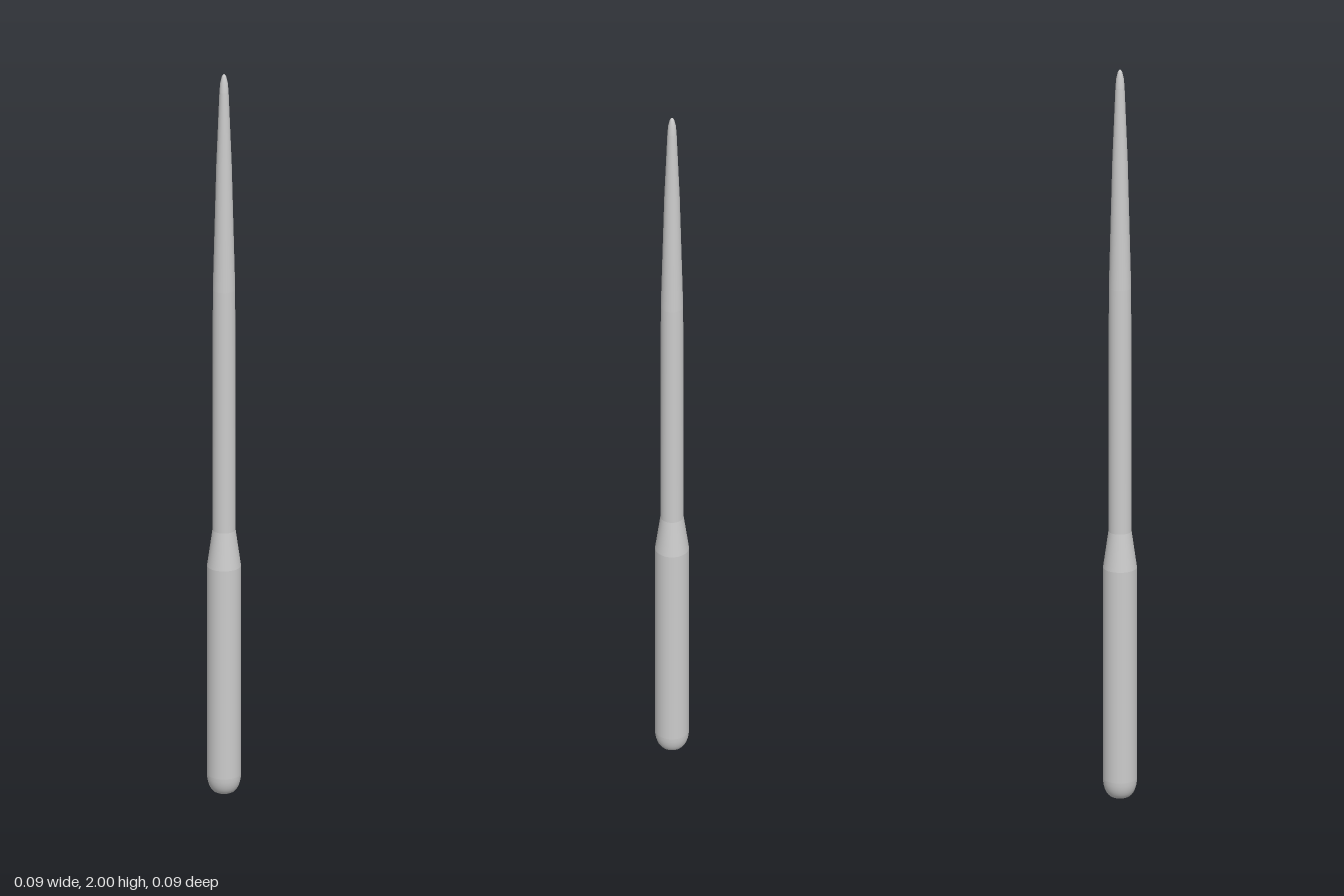
import * as THREE from 'three';

const material = new THREE.MeshStandardMaterial({ color: 0xcccccc });

// Revolve a bottom-to-top profile of [radius, height] pairs
function turned(name, profile) {
  const points = profile.map(([r, y]) => new THREE.Vector2(r, y));
  const mesh = new THREE.Mesh(new THREE.LatheGeometry(points, 48), material);
  mesh.name = name;
  return mesh;
}

export function createModel() {
  const group = new THREE.Group();
  group.name = 'taperedTool';

  // Rounded butt with a small flat underside
  const butt = [[0, 0], [0.018, 0]];
  for (let i = 1; i <= 8; i++) {
    const a = (i / 8) * Math.PI / 2;
    butt.push([0.018 + 0.026 * Math.sin(a), 0.05 * (1 - Math.cos(a))]);
  }
  group.add(turned('handleButt', butt));

  // Straight grip and the shoulder narrowing to the shaft
  group.add(turned('handleGrip', [[0.044, 0.05], [0.044, 0.63]]));
  group.add(turned('handleShoulder', [[0.044, 0.63], [0.03, 0.73]]));

  // Shaft, then a slender taper in two gentle stages
  group.add(turned('shaft', [[0.03, 0.73], [0.029, 1.4]]));
  group.add(turned('shaftTaper', [[0.029, 1.4], [0.02, 1.75], [0.012, 1.95]]));

  // Blunt rounded point
  group.add(turned('tip', [[0.012, 1.95], [0.01, 1.975], [0.006, 1.992], [0.003, 1.998], [0, 2]]));

  return group;
}
